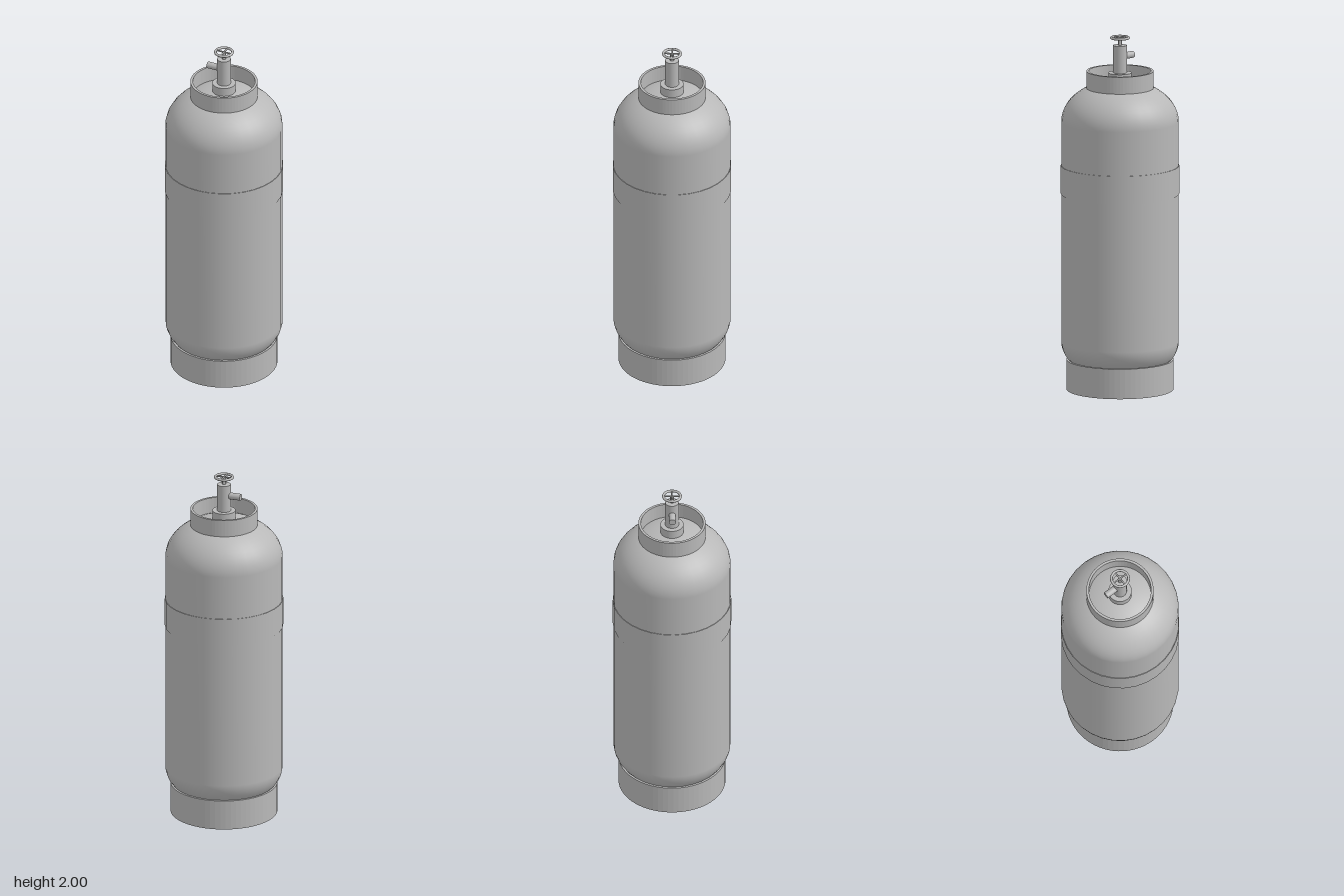
import * as THREE from 'three';

const SEG = 32;

export function createModel() {
  const group = new THREE.Group();
  group.name = 'gasCylinder';
  const steel = new THREE.MeshStandardMaterial({ color: 0xb8b8b8 });
  steel.name = 'grey steel';

  const add = (name, geometry, x = 0, y = 0, z = 0) => {
    const mesh = new THREE.Mesh(geometry, steel);
    mesh.name = name;
    mesh.position.set(x, y, z);
    group.add(mesh);
    return mesh;
  };
  const rod = (name, radius, y0, y1, seg = SEG) =>
    add(name, new THREE.CylinderGeometry(radius, radius, y1 - y0, seg), 0, (y0 + y1) / 2);

  // Hollow ring with a flat rim at both ends
  const ring = (name, outer, inner, y0, y1) => {
    const shape = new THREE.Shape().absarc(0, 0, outer, 0, Math.PI * 2);
    shape.holes.push(new THREE.Path().absarc(0, 0, inner, 0, Math.PI * 2, true));
    const geo = new THREE.ExtrudeGeometry(shape, { depth: y1 - y0, bevelEnabled: false, curveSegments: SEG });
    geo.rotateX(-Math.PI / 2);
    add(name, geo, 0, y0);
  };

  // Pressure vessel: straight wall between two elliptical ends
  const R = 0.327, low = 0.27, high = 1.52, steps = 14;
  const profile = [];
  for (let i = 0; i <= steps; i++) {
    const a = (i / steps) * Math.PI / 2;
    profile.push(new THREE.Vector2(R * Math.sin(a), low - 0.21 * Math.cos(a)));
  }
  for (let i = 0; i <= steps; i++) {
    const a = (i / steps) * Math.PI / 2;
    profile.push(new THREE.Vector2(i === steps ? 0 : R * Math.cos(a), high + 0.23 * Math.sin(a)));
  }
  add('tank', new THREE.LatheGeometry(profile, SEG));

  // Thin band around the wall
  add('band', new THREE.CylinderGeometry(0.33, 0.33, 0.16, SEG), 0, 1.19);

  // Foot ring and guard collar
  ring('footRing', 0.298, 0.283, 0, 0.17);
  ring('collar', 0.187, 0.173, 1.7, 1.805);

  // Valve
  rod('valveBoss', 0.065, 1.72, 1.795);
  rod('valveBody', 0.038, 1.78, 1.95);
  rod('valveSpindle', 0.01, 1.94, 1.993, 16);
  const outlet = add('valveOutlet', new THREE.CylinderGeometry(0.019, 0.019, 0.09, 20), -0.055, 1.885);
  outlet.rotation.z = Math.PI / 2;

  // Handwheel with crossed spokes
  const rim = add('handwheelRim', new THREE.TorusGeometry(0.048, 0.0075, 12, SEG), 0, 1.9925);
  rim.rotation.x = Math.PI / 2;
  for (let i = 0; i < 2; i++) {
    const spoke = add('handwheelSpoke', new THREE.CylinderGeometry(0.0045, 0.0045, 0.092, 10), 0, 1.9925);
    spoke.rotation.set(i ? Math.PI / 2 : 0, 0, i ? 0 : Math.PI / 2);
  }
  return group;
}
